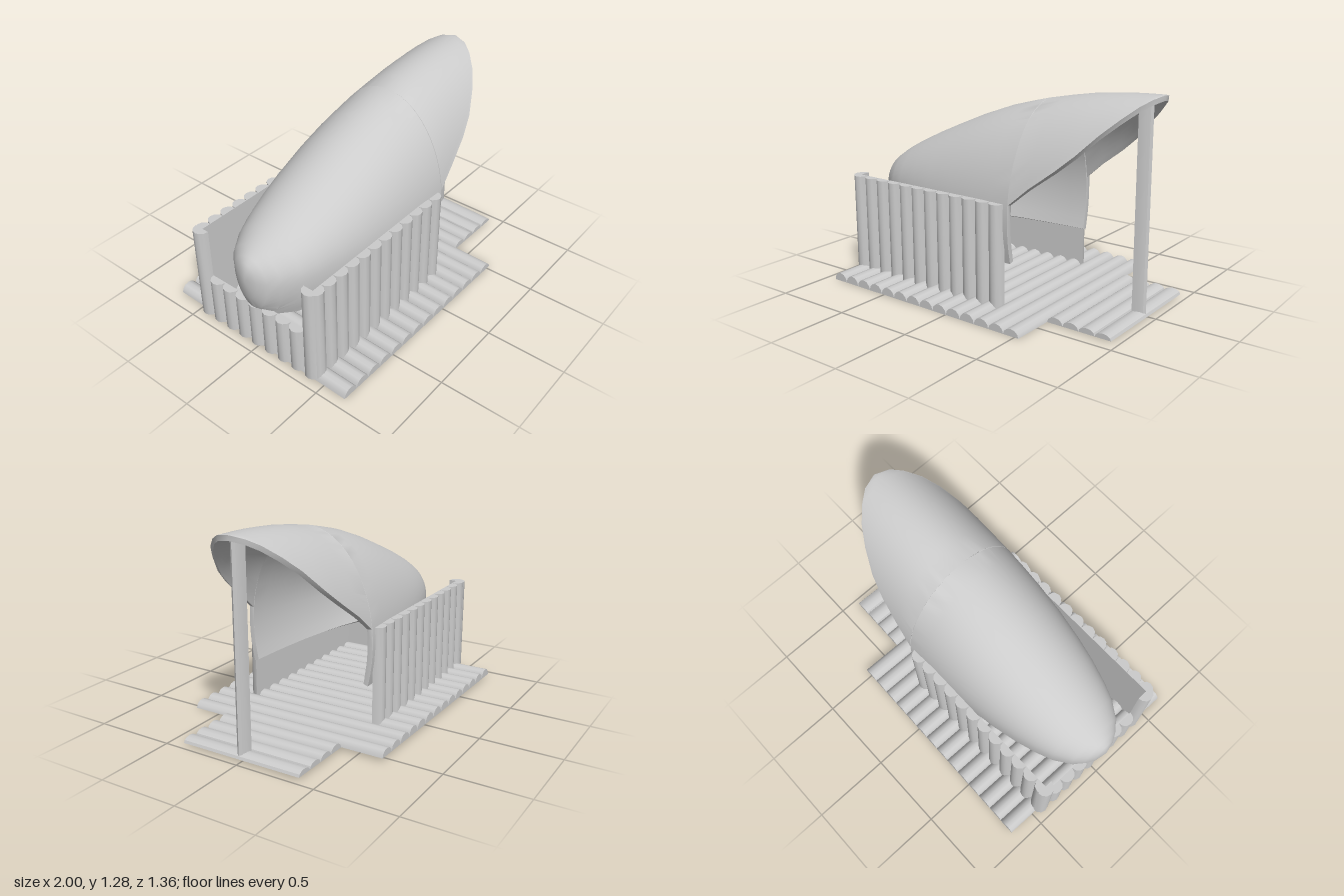
import * as THREE from 'three';
import { toCreasedNormals } from 'three/addons/utils/BufferGeometryUtils.js';

const material = new THREE.MeshStandardMaterial({ color: 0xcccccc });
const THICKNESS = 0.03;
const CENTRE_Y = 0.55;

function mesh(name, geometry) {
  const m = new THREE.Mesh(geometry, material);
  m.name = name;
  return m;
}

// Split log: flat face on y = 0, rounded side towards +y, running along z
function splitLog(width, height, length) {
  const points = [];
  for (let i = 0; i <= 6; i++) {
    const a = (i / 6) * Math.PI;
    points.push(new THREE.Vector2(Math.cos(a) * width / 2, Math.sin(a) * height));
  }
  const g = new THREE.ExtrudeGeometry(new THREE.Shape(points), { depth: length, bevelEnabled: false });
  g.translate(0, 0, -length / 2);
  return toCreasedNormals(g, 0.6);
}

// Upright split log: rounded side towards +z, standing on y = 0
function uprightLog(width, height, length) {
  return splitLog(width, height, length).rotateX(Math.PI / 2).translate(0, length / 2, 0);
}

// Row of upright logs centred on its own x
function palisade(name, count, pitch, heightAt) {
  const row = new THREE.Group();
  row.name = name;
  for (let i = 0; i < count; i++) {
    const log = mesh(name + 'Log', uprightLog(pitch, 0.055, heightAt(i)));
    log.position.x = (i - (count - 1) / 2) * pitch;
    row.add(log);
  }
  return row;
}

// Thin egg-shaped roof, lofted along x from elliptical sections cut off at a lower edge
function shellGeometry() {
  // x, crown height, half width, depth below centre, lower edge height
  const stations = [
    [-1, 0.55, 0, 0, 0.29],
    [-0.98, 0.655, 0.075, 0.14, 0.29],
    [-0.95, 0.68, 0.125, 0.23, 0.29],
    [-0.9, 0.715, 0.185, 0.32, 0.29],
    [-0.8, 0.78, 0.25, 0.42, 0.29],
    [-0.7, 0.835, 0.29, 0.48, 0.29],
    [-0.55, 0.907, 0.335, 0.55, 0.29],
    [-0.4, 0.973, 0.368, 0.6, 0.29],
    [-0.2, 1.058, 0.4, 0.65, 0.29],
    [0, 1.13, 0.42, 0.68, 0.29],
    [0.15, 1.17, 0.43, 0.7, 0.29],
    [0.27, 1.2, 0.435, 0.71, 0.29],
    [0.271, 1.2, 0.435, 0.71, 0.41],
    [0.272, 1.2, 0.435, 0.71, 0.53],
    [0.274, 1.2, 0.435, 0.71, 0.645],
    [0.4, 1.225, 0.435, 0.71, 0.755],
    [0.55, 1.25, 0.435, 0.71, 0.87],
    [0.66, 1.262, 0.435, 0.71, 0.965],
    [0.77, 1.272, 0.435, 0.71, 1.08],
    [0.86, 1.277, 0.435, 0.71, 1.165],
    [0.93, 1.279, 0.435, 0.71, 1.23],
    [0.975, 1.28, 0.435, 0.71, 1.264],
    [1, 1.28, 0.435, 0.71, 1.28],
  ];
  const segments = 36;
  const ring = 2 * (segments + 1);
  const positions = [];
  const index = [];
  for (const [x, top, halfWidth, depth, edge] of stations) {
    const up = top - CENTRE_Y;
    const radius = edge > CENTRE_Y ? up : depth;
    const ratio = radius > 0 ? (edge - CENTRE_Y) / radius : -1;
    const limit = Math.acos(THREE.MathUtils.clamp(ratio, -1, 1));
    for (let j = 0; j < ring; j++) {
      const inner = j > segments;
      const k = inner ? ring - 1 - j : j;
      const a = limit * (2 * k / segments - 1);
      const inset = inner ? THICKNESS : 0;
      const ry = Math.max(0, (Math.cos(a) >= 0 ? up : depth) - inset);
      const rz = Math.max(0, halfWidth - inset);
      positions.push(x, CENTRE_Y + ry * Math.cos(a), rz * Math.sin(a));
    }
  }
  for (let i = 0; i < stations.length - 1; i++) {
    for (let j = 0; j < ring; j++) {
      const a = i * ring + j;
      const b = i * ring + (j + 1) % ring;
      index.push(a, b, a + ring, b, b + ring, a + ring);
    }
  }
  const g = new THREE.BufferGeometry();
  g.setAttribute('position', new THREE.Float32BufferAttribute(positions, 3));
  g.setIndex(index);
  return toCreasedNormals(g, 0.7);
}

export function createModel() {
  const model = new THREE.Group();
  model.name = 'shelter';

  // Floor of split logs, slightly askew, with a shorter porch at the open end
  const floor = new THREE.Group();
  floor.name = 'floor';
  const pitch = 0.1045;
  for (let i = 0; i < 18; i++) {
    const porch = i >= 14;
    const height = 0.052 - Math.max(0, i - 10) * 0.003;
    const log = mesh(porch ? 'porchLog' : 'floorLog', splitLog(pitch, height, porch ? 0.8 : 1.335));
    log.position.x = -0.925 + (i + 0.5) * pitch;
    floor.add(log);
  }
  floor.position.y = 0.01;
  floor.rotation.set(0.015, -0.015, 0);
  model.add(floor);

  // Long side walls
  for (const side of [1, -1]) {
    const wall = palisade(side > 0 ? 'frontWall' : 'backWall', 12, 0.0985, () => 0.625);
    wall.position.set(-0.35, 0.02, side * 0.42);
    wall.rotation.y = side > 0 ? 0 : Math.PI;
    model.add(wall);
  }

  // Low end wall under the nose, with tall corner logs
  const endWall = palisade('endWall', 9, 0.104, (i) => (i === 0 || i === 8 ? 0.625 : 0.3));
  endWall.position.set(-0.905, 0.02, -0.01);
  endWall.rotation.y = -Math.PI / 2;
  model.add(endWall);

  // Shell roof
  model.add(mesh('shellRoof', shellGeometry()));

  // Post under the tip of the roof
  const post = mesh('post', uprightLog(0.065, 0.075, 1.225));
  post.position.set(0.872, 0.015, 0.022);
  post.rotation.y = Math.PI / 2;
  model.add(post);

  return model;
}
